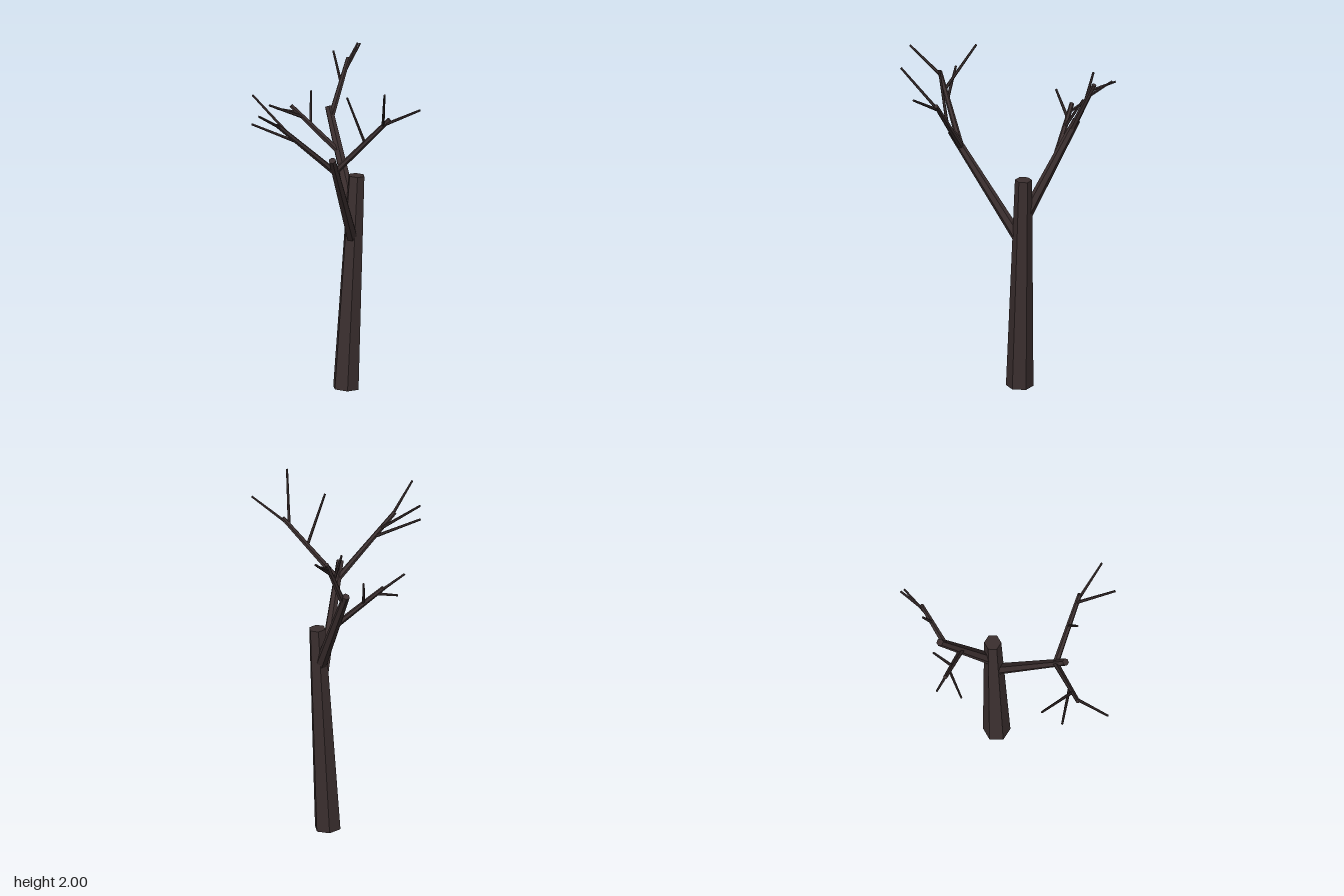
import * as THREE from 'three';

const UP = new THREE.Vector3(0, 1, 0);

export function createModel() {
  const tree = new THREE.Group();
  tree.name = 'bareTree';
  const bark = new THREE.MeshStandardMaterial({ color: 0x3b2f2f, flatShading: true });
  bark.name = 'darkBark';

  // Tapered six-sided limb between two points
  function limb(name, from, to, r0, r1) {
    const a = new THREE.Vector3(...from);
    const dir = new THREE.Vector3(...to).sub(a);
    const length = dir.length();
    const geometry = new THREE.CylinderGeometry(r1, r0, length, 6);
    geometry.translate(0, length / 2, 0);
    const mesh = new THREE.Mesh(geometry, bark);
    mesh.name = name;
    mesh.position.copy(a);
    mesh.quaternion.setFromUnitVectors(UP, dir.normalize());
    tree.add(mesh);
  }

  // Trunk and the two main boughs
  limb('trunk', [0.115, 0.006, -0.063], [0.18, 1.29, -0.088], 0.08, 0.05);
  limb('frontBough', [0.16, 0.89, -0.08], [-0.013, 1.52, 0.342], 0.035, 0.022);
  limb('backBough', [0.168, 1.03, -0.083], [0.053, 1.62, -0.392], 0.036, 0.023);

  // Branches, each with twigs given as [fraction along branch, tip]
  const branches = [
    { name: 'frontRightBranch', from: [0.01, 1.43, 0.283], to: [-0.345, 1.772, 0.422],
      twigs: [[0.95, [-0.472, 1.885, 0.6]], [0.76, [-0.465, 1.897, 0.215]], [0.63, [-0.484, 1.757, 0.334]]] },
    { name: 'frontLeftBranch', from: [0.01, 1.43, 0.283], to: [0.314, 1.78, 0.415],
      twigs: [[0.9, [0.478, 1.87, 0.54]], [0.88, [0.26, 1.995, 0.622]], [0.55, [0.066, 1.92, 0.408]]] },
    { name: 'backLeftBranch', from: [0.064, 1.565, -0.363], to: [0.182, 1.88, -0.5],
      twigs: [[0.88, [0.25, 1.925, -0.625]], [0.74, [0.262, 1.93, -0.605]], [0.57, [0.092, 1.928, -0.492]]] },
    { name: 'backRightBranch', from: [0.1, 1.38, -0.265], to: [-0.172, 1.645, -0.355],
      twigs: [[0.85, [-0.25, 1.615, -0.403]], [0.75, [-0.31, 1.682, -0.257]], [0.59, [-0.046, 1.71, -0.426]]] },
  ];
  for (const { name, from, to, twigs } of branches) {
    limb(name, from, to, 0.019, 0.0135);
    twigs.forEach(([t, tip], i) => {
      const root = from.map((v, k) => v + (to[k] - v) * t);
      limb(`${name}Twig${i + 1}`, root, tip, 0.0095, 0.0065);
    });
  }
  return tree;
}
